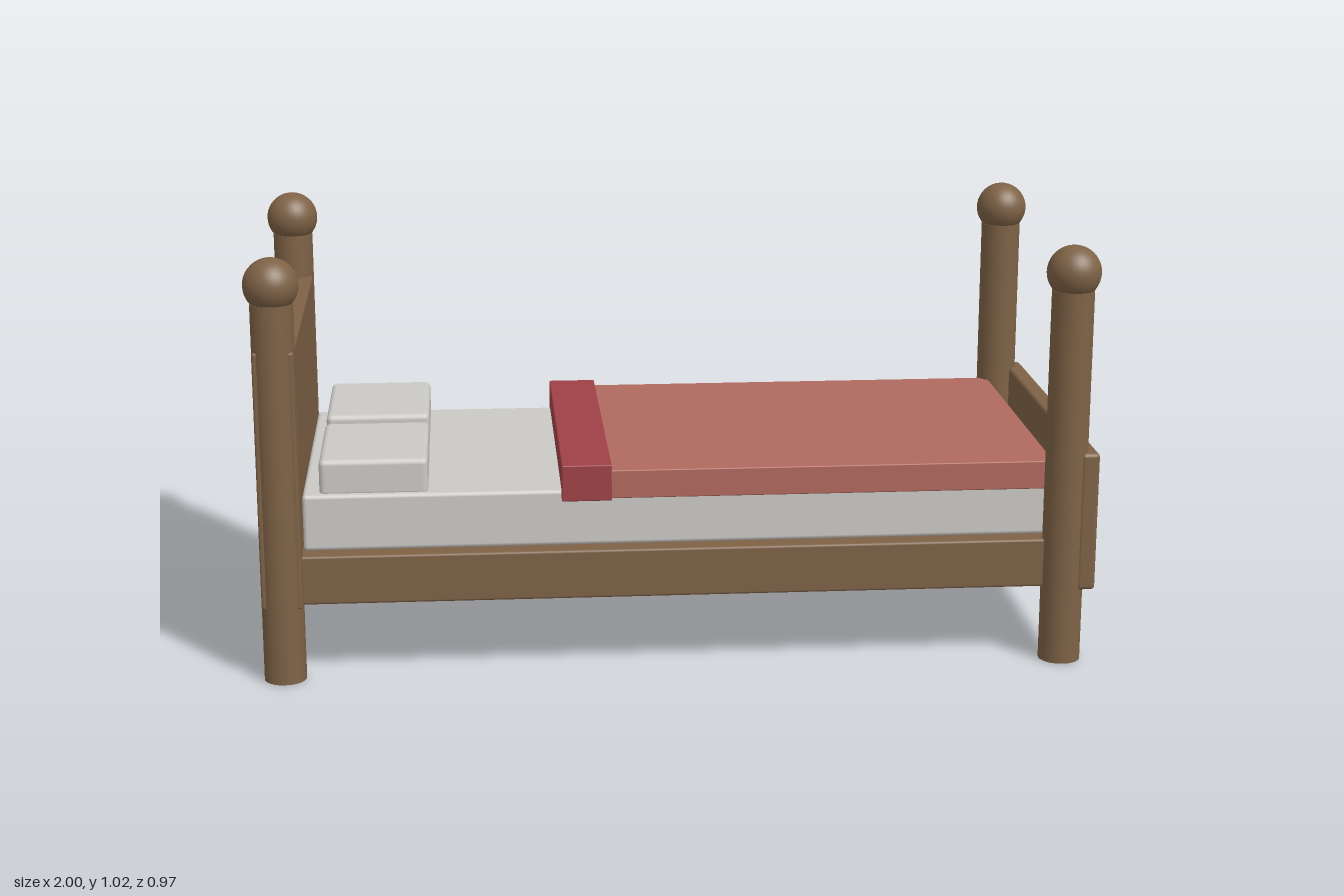
import * as THREE from 'three';
import { RoundedBoxGeometry } from 'three/addons/geometries/RoundedBoxGeometry.js';

const material = (name, color) => {
  const m = new THREE.MeshStandardMaterial({ color });
  m.name = name;
  return m;
};

export function createModel() {
  const bed = new THREE.Group();
  bed.name = 'bed';
  const wood = material('brown wood', 0x7e6246);
  const linen = material('pale linen', 0xcbc9c5);
  const blanketRed = material('faded red', 0xb0695e);
  const foldRed = material('dark red', 0x9e4147);

  // Box given by its min and max on each axis, with softened edges
  const box = (name, mat, [x0, x1], [y0, y1], [z0, z1], radius = 0.006) => {
    const geometry = new RoundedBoxGeometry(x1 - x0, y1 - y0, z1 - z0, 2, radius);
    const mesh = new THREE.Mesh(geometry, mat);
    mesh.position.set((x0 + x1) / 2, (y0 + y1) / 2, (z0 + z1) / 2);
    mesh.name = name;
    bed.add(mesh);
  };

  // Four round posts with ball finials
  const postGeometry = new THREE.CylinderGeometry(0.05, 0.05, 0.912, 24);
  const ballGeometry = new THREE.SphereGeometry(0.064, 32, 20);
  for (const [end, x] of [['head', -0.936], ['foot', 0.927]]) {
    for (const [side, z] of [['Front', 0.421], ['Back', -0.421]]) {
      const post = new THREE.Group();
      post.name = `${end}${side}Post`;
      const shaft = new THREE.Mesh(postGeometry, wood);
      shaft.name = 'shaft';
      shaft.position.y = 0.456;
      const ball = new THREE.Mesh(ballGeometry, wood);
      ball.name = 'ballFinial';
      ball.position.y = 0.954;
      post.add(shaft, ball);
      post.position.set(x, 0, z);
      bed.add(post);
    }
  }

  // Wooden boards and base
  box('headboard', wood, [-0.984, -0.888], [0.182, 0.802], [-0.455, 0.455]);
  box('footboard', wood, [0.955, 1], [0.182, 0.522], [-0.461, 0.461], 0.01);
  box('base', wood, [-0.93, 0.97], [0.184, 0.303], [-0.43, 0.43]);

  // Bedding
  box('mattress', linen, [-0.885, 0.905], [0.303, 0.44], [-0.388, 0.388], 0.01);
  box('blanket', blanketRed, [-0.17, 0.9], [0.423, 0.492], [-0.408, 0.408], 0.003);
  box('blanketFold', foldRed, [-0.275, -0.157], [0.418, 0.506], [-0.41, 0.41], 0.003);
  for (const [name, z] of [['frontPillow', 0.203], ['backPillow', -0.203]]) {
    box(name, linen, [-0.845, -0.589], [0.43, 0.521], [z - 0.171, z + 0.171], 0.014);
  }
  return bed;
}
